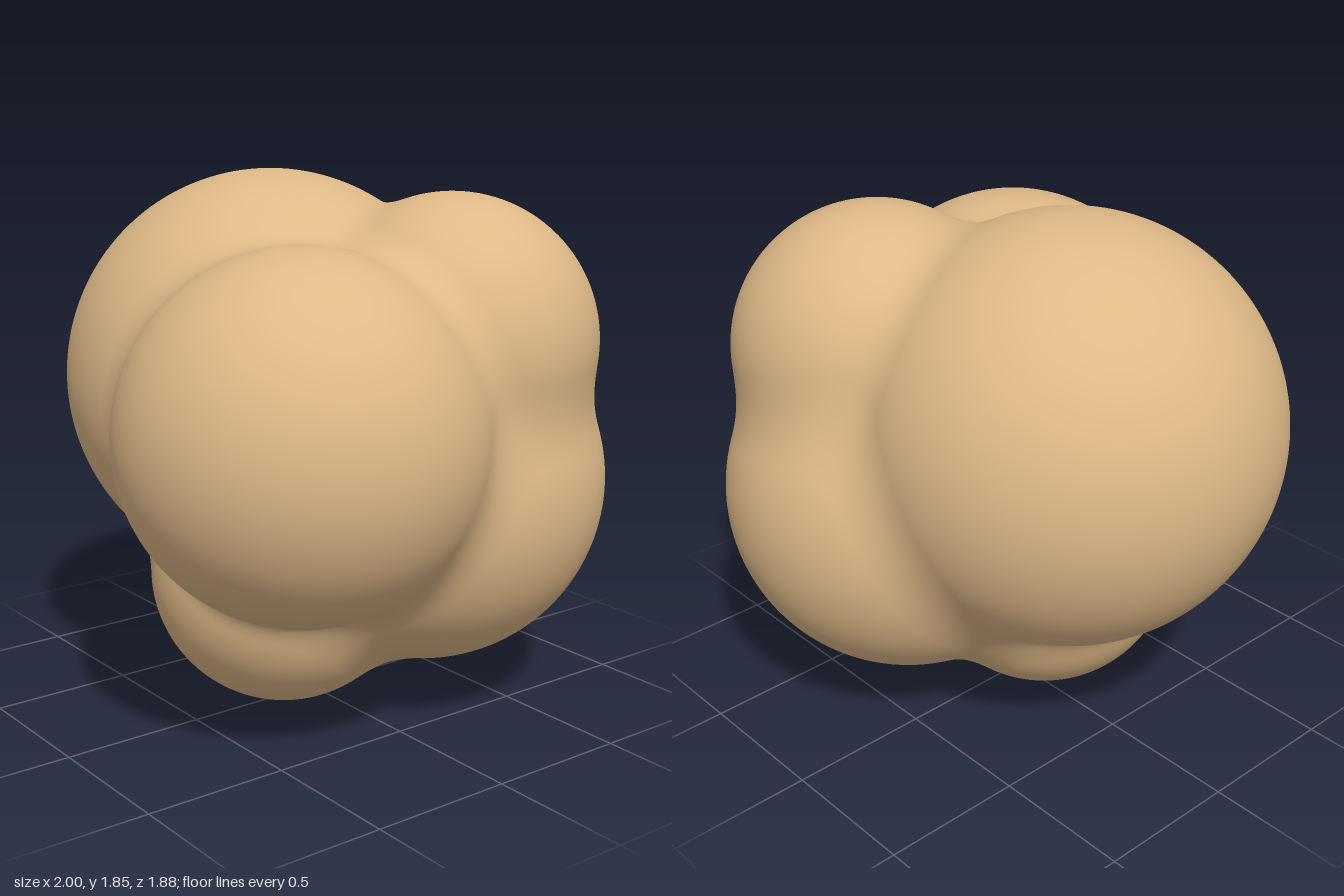
import * as THREE from 'three';

// Lobes of the cluster: centre x, y, z and radius
const LOBES = [
  [-0.27, 1.12, -0.02, 0.73],  // large side lobe
  [0.39, 1.06, 0.33, 0.61],    // front lobe
  [0.36, 1.30, -0.32, 0.50],   // upper back lobe
  [0.24, 0.80, -0.30, 0.64],   // lower back lobe
  [-0.03, 0.47, 0.10, 0.47],   // bottom lobe
];
const BLEND = 0.11;
const CORE = new THREE.Vector3(0.12, 0.94, 0);

// Signed distance to the softly blended union of the lobes
function distance(p) {
  let d = Infinity;
  for (const [x, y, z, r] of LOBES) {
    const s = Math.hypot(p.x - x, p.y - y, p.z - z) - r;
    const h = Math.max(BLEND - Math.abs(d - s), 0) / BLEND;
    d = Math.min(d, s) - h * h * BLEND / 4;
  }
  return d;
}

// Surface normal from the slope of the distance field
function slope(p) {
  const e = 0.004;
  const along = (x, y, z) =>
    distance(new THREE.Vector3(p.x + x, p.y + y, p.z + z)) -
    distance(new THREE.Vector3(p.x - x, p.y - y, p.z - z));
  return new THREE.Vector3(along(e, 0, 0), along(0, e, 0), along(0, 0, e)).normalize();
}

export function createModel() {
  // Shrink-wrap a fine sphere onto the blended lobes
  const geometry = new THREE.IcosahedronGeometry(1, 48);
  const position = geometry.attributes.position;
  const normal = geometry.attributes.normal;
  const dir = new THREE.Vector3();
  const p = new THREE.Vector3();
  for (let i = 0; i < position.count; i++) {
    dir.fromBufferAttribute(position, i).normalize();
    let t = 2;
    for (let step = 0; step < 80; step++) {
      const d = distance(p.copy(CORE).addScaledVector(dir, t));
      t -= d;
      if (Math.abs(d) < 1e-4) break;
    }
    p.copy(CORE).addScaledVector(dir, t);
    const n = slope(p);
    position.setXYZ(i, p.x, p.y, p.z);
    normal.setXYZ(i, n.x, n.y, n.z);
  }

  const cluster = new THREE.Mesh(geometry, new THREE.MeshStandardMaterial({ color: 0xdeb887 }));
  cluster.name = 'blendedLobes';
  const group = new THREE.Group();
  group.name = 'lobedCluster';
  group.add(cluster);
  return group;
}
